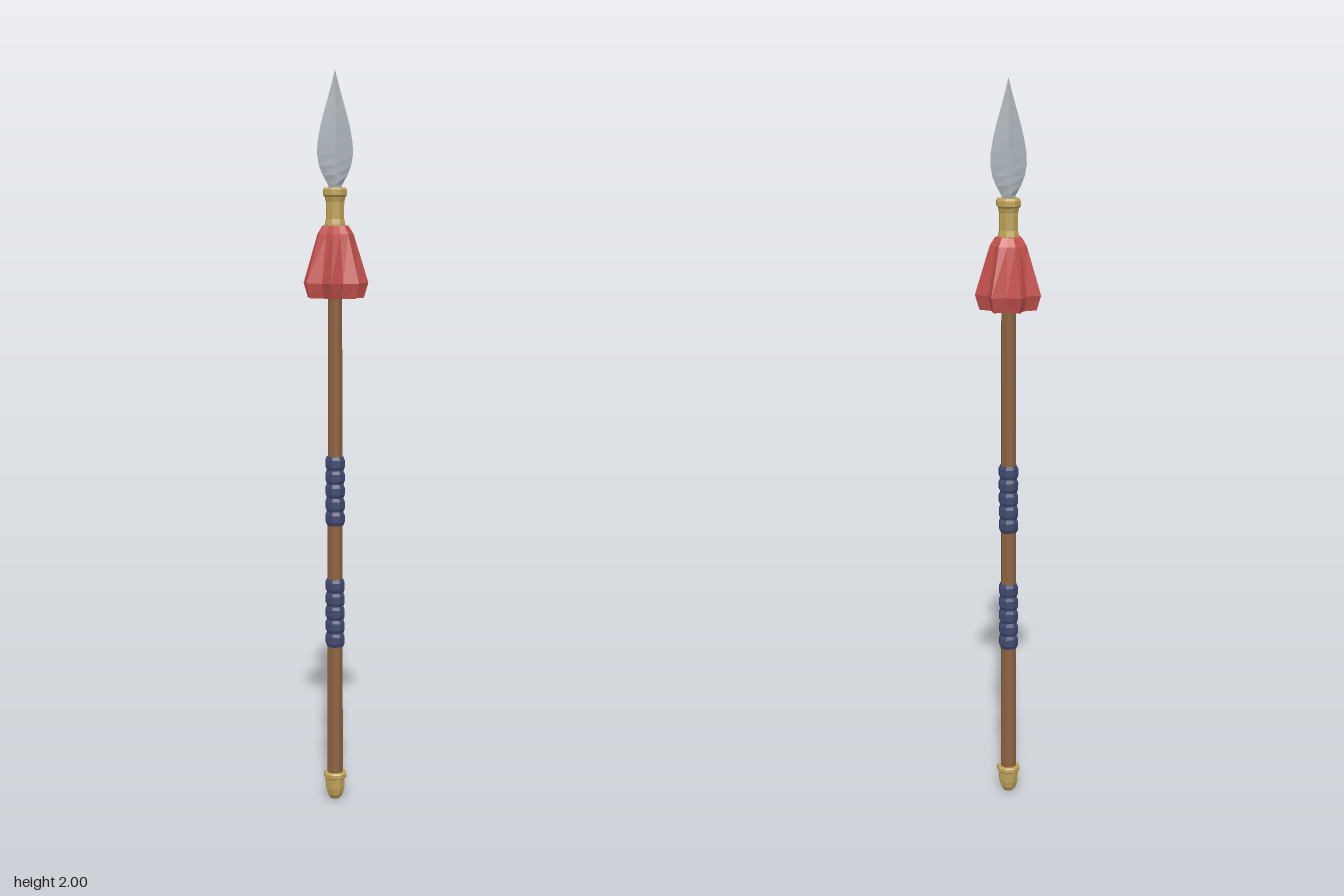
import * as THREE from 'three';

const AXIS_X = -0.0045; // seven-pointed tassel makes the bounds lopsided
const SIDES = 8;

const paint = (color) => new THREE.MeshStandardMaterial({ color, flatShading: true });

function part(name, geometry, material) {
  const mesh = new THREE.Mesh(geometry, material);
  mesh.name = name;
  return mesh;
}

// Octagonal turned part from [radius, y] pairs, bottom to top
function turned(profile) {
  const points = profile.map(([r, y]) => new THREE.Vector2(r, y));
  return new THREE.LatheGeometry(points, SIDES, Math.PI / SIDES);
}

// Skin over closed rings of [x, y, z], bottom to top, with both ends capped
function loft(rings) {
  const n = rings[0].length;
  const vertices = rings.flat(2);
  const index = [];
  for (let i = 0; i < rings.length - 1; i++) {
    for (let j = 0; j < n; j++) {
      const a = i * n + j, b = i * n + (j + 1) % n;
      index.push(a, b, b + n, a, b + n, a + n);
    }
  }
  const last = (rings.length - 1) * n;
  const bottom = rings.length * n, top = bottom + 1;
  vertices.push(0, rings[0][0][1], 0, 0, rings[rings.length - 1][0][1], 0);
  for (let j = 0; j < n; j++) {
    const k = (j + 1) % n;
    index.push(bottom, k, j, top, last + j, last + k);
  }
  const geometry = new THREE.BufferGeometry();
  geometry.setAttribute('position', new THREE.Float32BufferAttribute(vertices, 3));
  geometry.setIndex(index);
  const flat = geometry.toNonIndexed();
  flat.computeVertexNormals();
  return flat;
}

// Diamond-section leaf blade: [y, half width, half thickness]
function bladeGeometry() {
  const sections = [
    [1.67, 0.012, 0.015], [1.70, 0.019, 0.016], [1.725, 0.033, 0.015],
    [1.75, 0.043, 0.014], [1.78, 0.048, 0.013], [1.81, 0.047, 0.0125],
    [1.85, 0.04, 0.011], [1.89, 0.03, 0.009], [1.93, 0.0185, 0.0065],
    [1.97, 0.0075, 0.0035], [2.0, 0.0002, 0.0002],
  ];
  return loft(sections.map(([y, w, t]) => [[w, y, 0], [0, y, -t], [-w, y, 0], [0, y, t]]));
}

// Star-shaped flared tassel: [y, point radius, valley radius]
function tasselGeometry() {
  const points = 7;
  const levels = [
    [1.4, 0.078, 0.054], [1.44, 0.09, 0.065], [1.57, 0.05, 0.043], [1.592, 0.036, 0.031],
  ];
  return loft(levels.map(([y, outer, inner]) =>
    Array.from({ length: points * 2 }, (_, j) => {
      const angle = (j * Math.PI) / points;
      const r = j % 2 ? inner : outer;
      return [r * Math.cos(angle), y, -r * Math.sin(angle)];
    })));
}

// Five bulging turns of cord
function gripGeometry(y0, height) {
  const turns = 5, step = height / turns;
  const profile = [[0.015, y0]];
  for (let i = 0; i < turns; i++) {
    const y = y0 + i * step;
    profile.push([0.0235, y], [0.0275, y + step * 0.25], [0.0275, y + step * 0.75]);
  }
  profile.push([0.0235, y0 + height], [0.015, y0 + height]);
  return turned(profile);
}

export function createModel() {
  const wood = paint(0x8c6340);
  const brass = paint(0xbfa35a);
  const cord = paint(0x414a6e);
  const cloth = paint(0xc4524e);
  const steel = paint(0xa9b1b8);

  const spear = new THREE.Group();
  spear.name = 'spear';
  spear.position.x = AXIS_X;

  spear.add(
    part('shaft', turned([[0.0225, 0.05], [0.0195, 1.6]]), wood),
    part('lowerGrip', gripGeometry(0.44, 0.19), cord),
    part('upperGrip', gripGeometry(0.78, 0.19), cord),
    part('tassel', tasselGeometry(), cloth),
    part('blade', bladeGeometry(), steel),
  );

  // Rounded butt cap with a lip
  spear.add(part('buttCap', turned([
    [0, 0], [0.013, 0.004], [0.022, 0.016], [0.027, 0.035], [0.028, 0.062],
    [0.033, 0.066], [0.033, 0.076], [0.029, 0.08], [0, 0.08],
  ]), brass));

  // Socket holding the blade, with a raised rim
  spear.add(part('socket', turned([
    [0, 1.57], [0.029, 1.57], [0.029, 1.595], [0.0255, 1.61], [0.0255, 1.655],
    [0.029, 1.668], [0.0335, 1.673], [0.0335, 1.687], [0.029, 1.693], [0, 1.693],
  ]), brass));

  const model = new THREE.Group();
  model.name = 'model';
  model.add(spear);
  return model;
}
